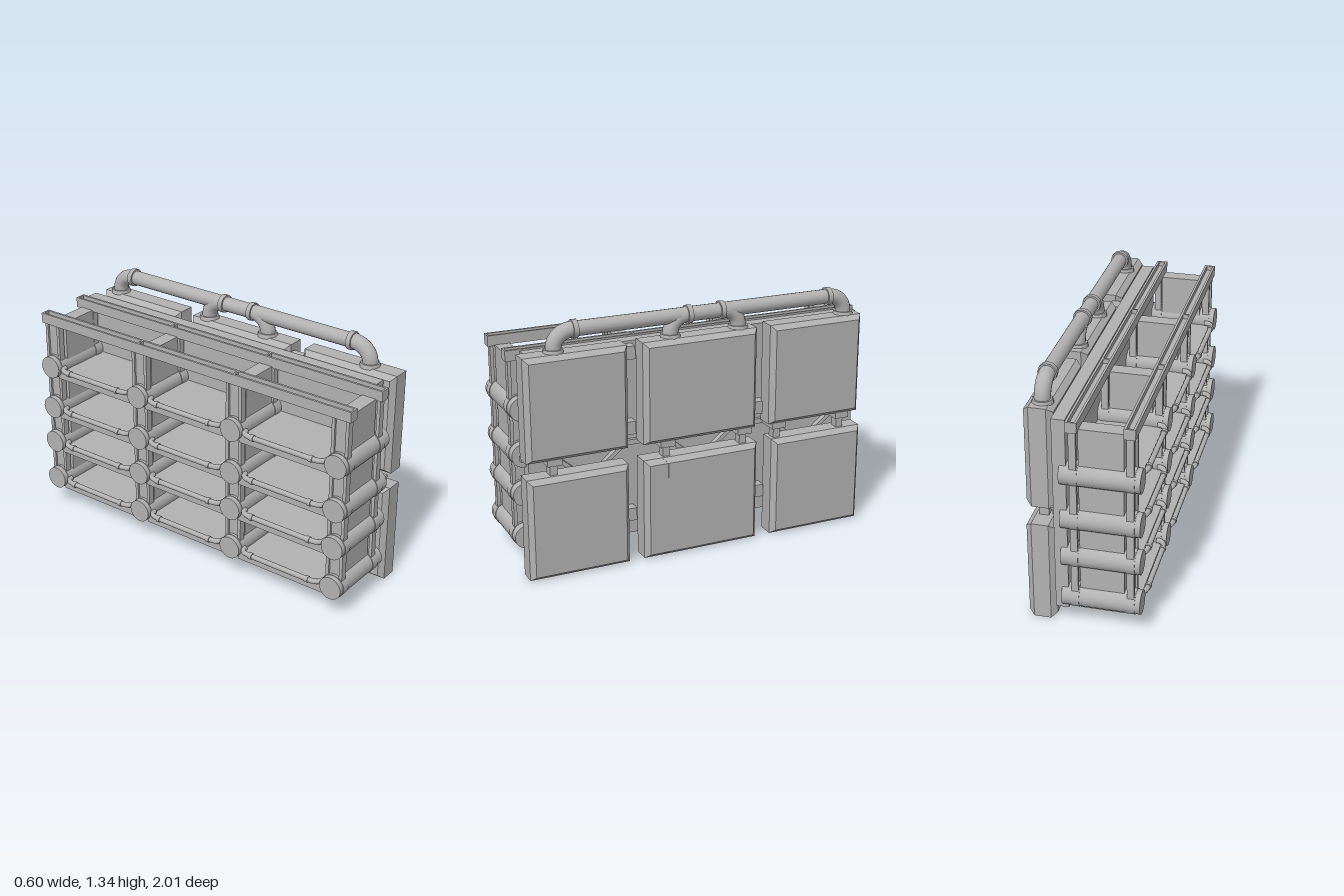
import * as THREE from 'three';

const grey = new THREE.MeshStandardMaterial({ color: 0xb2b2b2 });
grey.name = 'plain grey';
const V = (x, y, z) => new THREE.Vector3(x, y, z);

export function createModel() {
  const model = new THREE.Group();
  model.name = 'storageRackWithTanks';

  const add = (name, geo, x = 0, y = 0, z = 0) => {
    const m = new THREE.Mesh(geo, grey);
    m.name = name;
    m.position.set(x, y, z);
    model.add(m);
    return m;
  };
  // box given by its limits on each axis
  const box = (name, x0, x1, y0, y1, z0, z1) =>
    add(name, new THREE.BoxGeometry(x1 - x0, y1 - y0, z1 - z0), (x0 + x1) / 2, (y0 + y1) / 2, (z0 + z1) / 2);
  // tube along straight and curved pieces
  const tube = (name, curve, r, seg, sides) => add(name, new THREE.TubeGeometry(curve, seg, r, sides, false));

  const rows = [0.172, 0.408, 0.623, 0.87];
  const columns = [-0.937, -0.317, 0.303, 0.937];
  const posts = [-0.24, 0.042];

  // cross cylinders at every row and column
  for (const z of columns) {
    for (const y of rows) {
      const c = add('crossCylinder', new THREE.CylinderGeometry(0.063, 0.063, 0.4, 24), -0.09, y, z);
      c.rotation.z = Math.PI / 2;
      for (const x of posts) {
        const k = add('cylinderClamp', new THREE.CylinderGeometry(0.066, 0.066, 0.045, 24), x, y, z);
        k.rotation.z = Math.PI / 2;
      }
    }
    // divider panel between the two posts
    const inward = Math.abs(z) > 0.5 ? -Math.sign(z) * 0.012 : 0;
    box('divider', -0.205, 0.018, 0.11, 1.125, z + inward - 0.04, z + inward + 0.04);
    // posts made of a web and two slim flange rods
    for (const x of posts) {
      box('postWeb', x - 0.008, x + 0.008, 0.15, 1.13, z - 0.03, z + 0.03);
      for (const s of [-1, 1])
        box('postFlange', x - 0.018, x + 0.018, 0.15, 1.13, z + s * 0.04 - 0.009, z + s * 0.04 + 0.009);
    }
  }

  // open channel rails along the top
  for (const x of posts) {
    box('railFloor', x - 0.028, x + 0.028, 1.118, 1.15, -1, 1);
    for (const s of [-1, 1]) {
      const c = x + s * 0.023;
      box('railLip', c - 0.006, c + 0.006, 1.145, 1.175, -1, 1);
    }
    for (const z of [-0.995, -0.317, 0.303, 0.995])
      box('railStop', x - 0.028, x + 0.028, 1.145, 1.175, z - 0.005, z + 0.005);
  }

  // shelves and the bent guard rods on the open side
  for (const y of rows) {
    for (let i = 0; i < 3; i++) {
      const a = columns[i] + 0.04, b = columns[i + 1] - 0.04;
      box('shelf', -0.265, 0.08, y - 0.064, y - 0.018, a, b);
      const p = new THREE.CurvePath();
      const X = -0.287, lo = a + 0.03, hi = b - 0.03;
      p.add(new THREE.QuadraticBezierCurve3(V(-0.24, y, lo), V(X, y, lo), V(X, y, lo + 0.06)));
      p.add(new THREE.LineCurve3(V(X, y, lo + 0.06), V(X, y, hi - 0.06)));
      p.add(new THREE.QuadraticBezierCurve3(V(X, y, hi - 0.06), V(X, y, hi), V(-0.24, y, hi)));
      tube('guardRod', p, 0.014, 40, 10);
      for (const z of [lo + 0.07, hi - 0.07]) {
        const k = add('guardRodCollar', new THREE.CylinderGeometry(0.018, 0.018, 0.02, 10), X, y, z);
        k.rotation.x = Math.PI / 2;
      }
    }
  }

  // back wall that carries the tanks
  box('backWall', 0.078, 0.145, 0.102, 1.168, -0.972, 0.925);

  // flat tanks with bevelled edges
  const tank = (y0, y1, z0, z1, x0 = 0.152, x1 = 0.3) => {
    const b = 0.024, d = 0.03;
    const w = (z1 - z0) / 2 - b, h = (y1 - y0) / 2 - b;
    const s = new THREE.Shape([[-w, -h], [w, -h], [w, h], [-w, h]].map(q => new THREE.Vector2(...q)));
    const g = new THREE.ExtrudeGeometry(s, {
      depth: x1 - x0 - 2 * d, bevelEnabled: true, bevelSize: b, bevelThickness: d, bevelSegments: 1,
    });
    g.rotateY(Math.PI / 2);
    add('tank', g, x0 + d, (y0 + y1) / 2, (z0 + z1) / 2);
  };
  for (const [z0, z1] of [[0.43, 0.98], [-0.3, 0.345], [-0.925, -0.38]]) tank(0.64, 1.188, z0, z1);
  for (const [z0, z1] of [[0.43, 0.98], [-0.31, 0.24], [-0.945, -0.4]]) tank(0, 0.552, z0, z1);
  tank(0, 0.552, -0.2, 0.345, 0.15, 0.299);

  // brackets between the upper and lower tanks
  for (const z of [0.83, 0.21, -0.235, -0.44, -0.83]) {
    box('bracketPlate', 0.14, 0.28, 0.61, 0.645, z - 0.04, z + 0.04);
    box('bracketLeg', 0.205, 0.255, 0.54, 0.615, z - 0.02, z + 0.02);
  }
  box('wallBeam', 0.14, 0.165, 0.61, 0.638, -0.92, 0.97);
  for (const z of [0.61, -0.02, -0.64]) {
    for (const s of [-1, 1]) {
      const m = add('diagonalBrace', new THREE.BoxGeometry(0.03, 0.022, 0.14), 0.16, 0.575, z + s * 0.14);
      m.rotation.x = -s * 0.7;
    }
  }
  // wall clips in the gap between the tank columns
  for (const y of [0.23, 0.715, 1.12]) box('wallClip', 0.14, 0.2, y - 0.035, y + 0.035, 0.355, 0.43);
  for (const y of [0.23, 0.715]) box('wallClip', 0.14, 0.2, y - 0.035, y + 0.035, -0.395, -0.32);

  // main pipe above the tanks with four elbows
  const px = 0.22, py = 1.292, r = 0.039;
  tube('mainPipe', new THREE.LineCurve3(V(px, py, 0.7), V(px, py, -0.75)), r, 1, 16);
  for (const [foot, joint] of [[0.8, 0.69], [0.17, 0.07], [-0.215, -0.115], [-0.845, -0.745]]) {
    const p = new THREE.CurvePath();
    p.add(new THREE.LineCurve3(V(px, 1.17, foot), V(px, 1.2, foot)));
    p.add(new THREE.CubicBezierCurve3(V(px, 1.2, foot), V(px, 1.255, foot),
      V(px, py, foot + (joint - foot) * 0.4), V(px, py, joint)));
    tube('pipeElbow', p, r + 0.002, 24, 16);
    const c = add('pipeCollar', new THREE.CylinderGeometry(0.049, 0.049, 0.026, 12), px, py, joint);
    c.rotation.x = Math.PI / 2;
    add('pipeFlange', new THREE.CylinderGeometry(0.05, 0.055, 0.022, 12), px, 1.193, foot);
  }
  return model;
}
